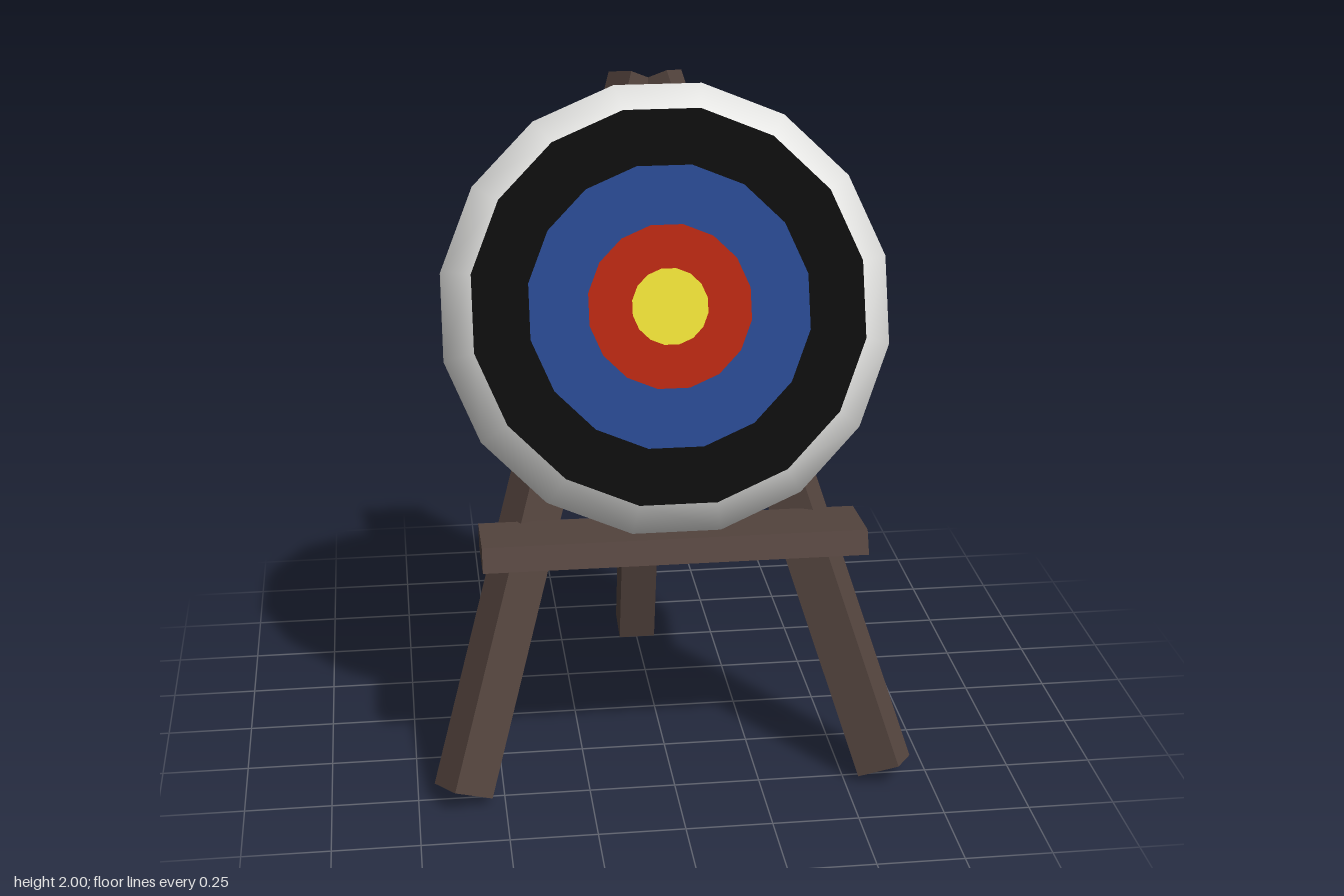
import * as THREE from 'three';

const material = (name, color, extra = {}) => {
  const m = new THREE.MeshStandardMaterial({ color, ...extra });
  m.name = name;
  return m;
};

const add = (parent, name, geometry, mat) => {
  const mesh = new THREE.Mesh(geometry, mat);
  mesh.name = name;
  parent.add(mesh);
  return mesh;
};

// Square-cut beam between two points; "side" fixes its roll about its own axis
function beam(from, to, width, depth, side) {
  const a = new THREE.Vector3(...from), b = new THREE.Vector3(...to);
  const axis = b.clone().sub(a);
  const length = axis.length();
  axis.normalize();
  const x = new THREE.Vector3(...side);
  x.addScaledVector(axis, -x.dot(axis)).normalize();
  const z = new THREE.Vector3().crossVectors(x, axis);
  const place = new THREE.Matrix4().makeBasis(x, axis, z)
    .setPosition(a.add(b).multiplyScalar(0.5));
  return new THREE.BoxGeometry(width, length, depth).applyMatrix4(place);
}

export function createModel() {
  const model = new THREE.Group();
  model.name = 'archeryTarget';
  const wood = material('dark wood', 0x54443e);
  const white = material('white', 0xe6e6e4);

  // Tripod: two splayed front legs meeting at the top, one rear prop
  for (const s of [1, -1]) {
    add(model, s > 0 ? 'leftFrontLeg' : 'rightFrontLeg',
      beam([0.62 * s, 0.038, 0.525], [0.025 * s, 1.957, -0.205], 0.118, 0.13,
        [-0.055 * s, 0.021, 0.1]), wood);
  }
  add(model, 'rearLeg',
    beam([0, 0.02, -0.545], [0, 1.675, -0.13], 0.115, 0.12, [1, 0, 0]), wood);

  // Shelf with a slanted section, drawn as (z, y) and extruded across x
  const section = new THREE.Shape([[0.52, 0.8], [0.31, 0.785], [0.34, 0.725], [0.55, 0.735]]
    .map(([z, y]) => new THREE.Vector2(z, y)));
  const shelf = new THREE.ExtrudeGeometry(section, { depth: 1.095, bevelEnabled: false });
  shelf.rotateY(-Math.PI / 2).translate(0.5475, 0, 0);
  add(model, 'shelf', shelf, wood);

  // Leaning sixteen-sided target
  const target = new THREE.Group();
  target.name = 'target';
  target.position.set(0, 1.393, 0.25);
  target.rotation.x = -0.362;
  model.add(target);

  const sides = 16, offset = Math.PI / sides;
  const profile = [[0, -0.13], [0.56, -0.13], [0.642, -0.055], [0.642, 0.055], [0.56, 0.13]]
    .map(([r, h]) => new THREE.Vector2(r, h));
  const body = new THREE.LatheGeometry(profile, sides, offset, Math.PI * 2);
  body.rotateX(Math.PI / 2);
  add(target, 'targetBody', body, white);

  // Painted rings on the front face
  const rings = [
    ['blackRing', 0.4, 0.56, material('black', 0x0c0c0c)],
    ['blueRing', 0.232, 0.4, material('blue', 0x26458a)],
    ['redRing', 0.108, 0.232, material('red', 0xb02510)],
    ['yellowCentre', 0, 0.108, material('yellow', 0xe5d835)],
  ];
  for (const [name, inner, outer, mat] of rings) {
    const geometry = inner
      ? new THREE.RingGeometry(inner, outer, sides, 1, offset)
      : new THREE.CircleGeometry(outer, sides, offset);
    add(target, name, geometry, mat).position.z = 0.13;
  }
  return model;
}
